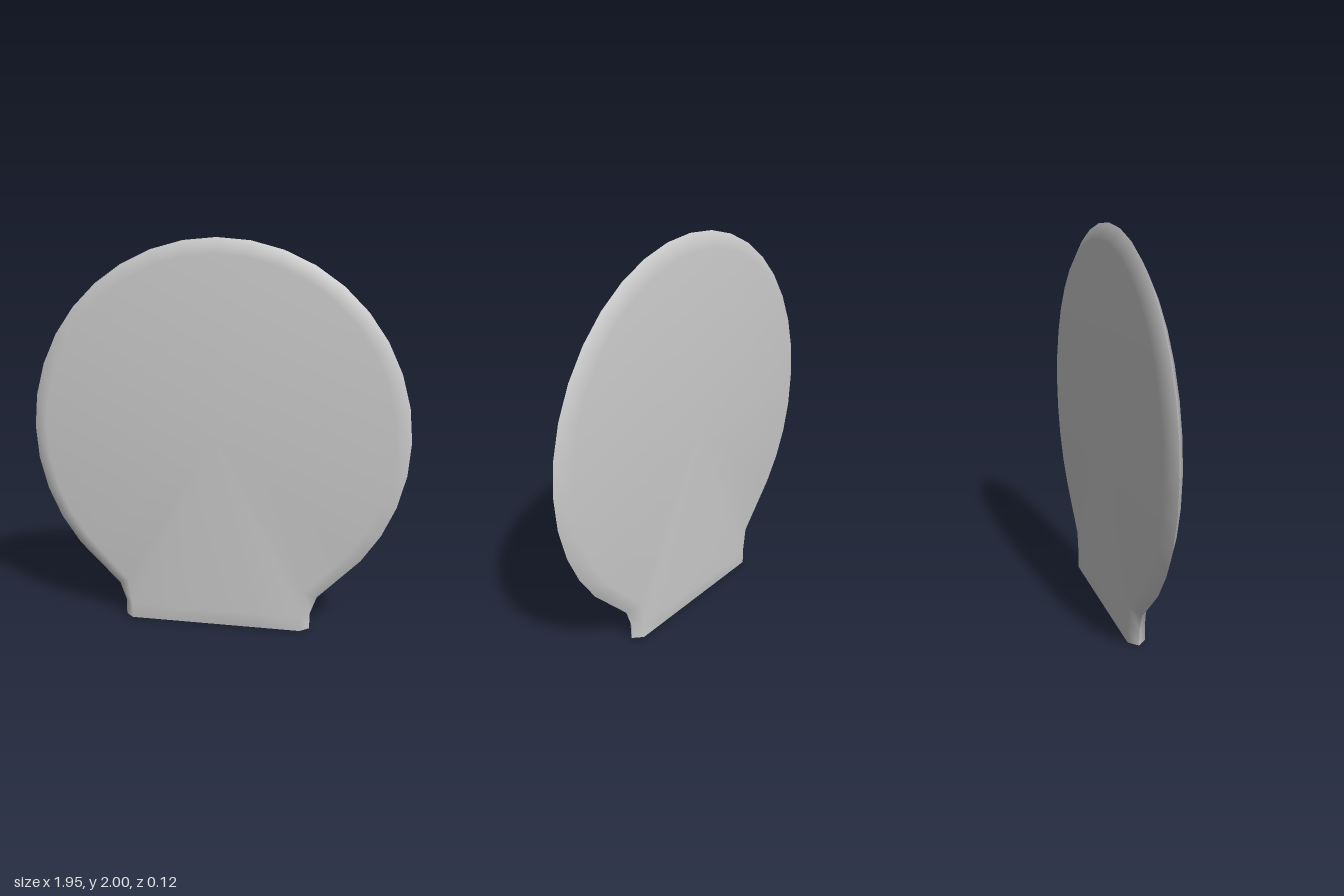
import * as THREE from 'three';

const CY = 1.02, R = 0.975, RIM_Z = 0.045, MID_Z = 0.06;

// One smooth, slightly domed face: sharp rim -> bevel -> centre, with a thickened neck.
function faceGeometry() {
  // Right-hand neck, from the foot up: [rim x, rim y, inner x, inner y]
  const neck = [[0.495, 0, 0.45, 0], [0.495, 0.08, 0.45, 0.08], [0.53, 0.175, 0.47, 0.21]];
  const outline = [...neck];
  // Disc arc, in 10 degree steps
  for (let a = -40; a <= 220; a += 10) {
    const c = Math.cos(a * Math.PI / 180) * R, s = Math.sin(a * Math.PI / 180) * 0.98;
    outline.push([c, CY + s, c * 0.92, CY + s * 0.92]);
  }
  // Mirrored left-hand neck
  for (const [x, y, ix, iy] of [...neck].reverse()) outline.push([-x, y, -ix, iy]);

  const pos = [], index = [];
  const add = (x, y, z) => pos.push(x, y, z) / 3 - 1;
  const quad = (a, b, c, d) => index.push(a, b, c, a, c, d);

  const rim = outline.map(([x, y]) => add(x, y, 0));
  const inner = outline.map(([, , x, y]) => add(x, y, RIM_Z));
  const centre = add(0, CY, MID_Z);
  const last = outline.length - 1;

  // Bevel and dome
  for (let i = 0; i < last; i++) {
    quad(rim[i], rim[i + 1], inner[i + 1], inner[i]);
    if (i > 0 && i < last - 1) index.push(centre, inner[i], inner[i + 1]);
  }
  // Thick middle of the neck, tapering to the foot
  const row = [inner[last - 1], add(-0.22, 0.08, 0.058), add(0.22, 0.08, 0.058), inner[1]];
  const foot = [inner[last], add(-0.22, 0, RIM_Z), add(0.22, 0, RIM_Z), inner[0]];
  for (let i = 0; i < 3; i++) {
    index.push(centre, row[i], row[i + 1]);
    quad(row[i], foot[i], foot[i + 1], row[i + 1]);
  }

  const g = new THREE.BufferGeometry();
  g.setAttribute('position', new THREE.Float32BufferAttribute(pos, 3));
  g.setIndex(index);
  g.computeVertexNormals();
  return g;
}

export function createModel() {
  const model = new THREE.Group();
  model.name = 'roundPaddle';
  const material = new THREE.MeshStandardMaterial({ color: 0xcccccc });

  // Front and back faces meet in a sharp edge at z = 0
  const geometry = faceGeometry();
  for (const [name, turn] of [['frontFace', 0], ['backFace', Math.PI]]) {
    const face = new THREE.Mesh(geometry, material);
    face.name = name;
    face.rotation.y = turn;
    model.add(face);
  }

  // Flat underside of the foot
  const outline = [[0.495, 0], [0.45, RIM_Z], [-0.45, RIM_Z], [-0.495, 0], [-0.45, -RIM_Z], [0.45, -RIM_Z]];
  const shape = new THREE.Shape(outline.map(([x, y]) => new THREE.Vector2(x, y)));
  const foot = new THREE.Mesh(new THREE.ShapeGeometry(shape).rotateX(Math.PI / 2), material);
  foot.name = 'footUnderside';
  model.add(foot);

  return model;
}
